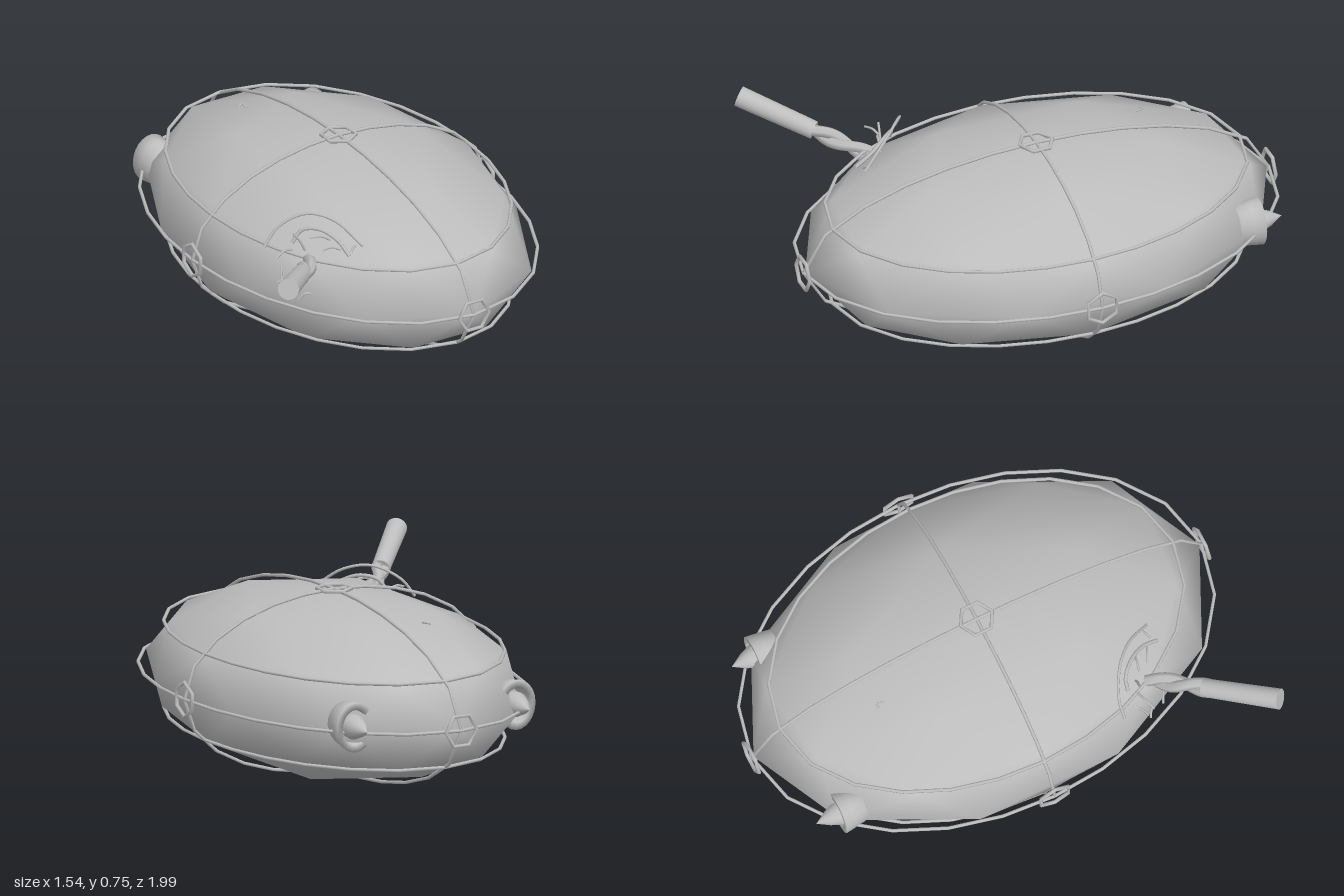
import * as THREE from 'three';

const CX = 0.085, CY = 0.374;
const V = (x, y, z) => new THREE.Vector3(x, y, z);

export function createModel() {
  const root = new THREE.Group();
  root.name = 'wreckedPod';
  const grey = new THREE.MeshStandardMaterial({ color: 0xbdbdbd, side: THREE.DoubleSide });
  grey.name = 'paleGrey';

  const add = (parent, name, geometry) => {
    const mesh = new THREE.Mesh(geometry, grey);
    mesh.name = name;
    parent.add(mesh);
    return mesh;
  };
  const tube = (parent, name, pts, radius, closed = false, segments = pts.length) =>
    add(parent, name, new THREE.TubeGeometry(
      new THREE.CatmullRomCurve3(pts, closed), segments, radius, 6, closed));

  const pod = new THREE.Group();
  pod.name = 'pod';
  pod.position.set(CX, CY, 0);
  root.add(pod);

  // Coarse, smoothly shaded ellipsoid hull with a vertex at each pole
  const hull = new THREE.IcosahedronGeometry(1, 1);
  hull.rotateZ(-Math.atan(2 / (1 + Math.sqrt(5))));
  hull.scale(0.667, 0.36, 0.98);
  add(pod, 'hull', hull);

  // Cage of elliptical hoops
  const A = 0.68, B = 0.364, C = 0.988;
  const hoop = (name, place) => {
    const pts = [];
    for (let i = 0; i < 24; i++) {
      const t = i / 24 * Math.PI * 2;
      pts.push(place(Math.cos(t), Math.sin(t)));
    }
    tube(pod, name, pts, 0.007, true);
  };
  hoop('crossHoop', (c, s) => V(A * c, B * s, 0));
  hoop('lengthHoop', (c, s) => V(0, B * s, C * c));
  hoop('equatorHoop', (c, s) => V(A * c, 0, C * s));
  for (const side of [1, -1]) {
    hoop(side > 0 ? 'upperHoop' : 'lowerHoop',
      (c, s) => V(A * 0.866 * c, side * 0.174, C * 0.875 * s));
  }

  // Hexagonal joints where the hoops cross
  const hexJoint = (name, x, y, z, turn) => {
    const g = new THREE.TorusGeometry(0.069, 0.008, 6, 6);
    g.rotateZ(turn);
    const mesh = add(pod, name, g);
    mesh.position.set(x, y, z);
    if (x) mesh.rotation.y = Math.PI / 2;
    if (y) mesh.rotation.x = Math.PI / 2;
  };
  for (const s of [1, -1]) {
    hexJoint('sideJoint', s * A, 0, 0, Math.PI / 6);
    hexJoint('poleJoint', 0, s * 0.366, 0, Math.PI / 6);
    hexJoint('endJoint', 0, 0, s * 0.99, 0);
  }

  // Rear thrusters: cone inside a cowl that is open on the inner side
  for (const s of [1, -1]) {
    const thruster = new THREE.Group();
    thruster.name = s > 0 ? 'leftThruster' : 'rightThruster';
    thruster.position.set(s * 0.367, 0.018, -0.75);
    pod.add(thruster);

    const profile = [[0.05, -0.06], [0.069, -0.055], [0.077, 0], [0.083, 0.045],
      [0.058, 0.045], [0.05, -0.06]].map(p => new THREE.Vector2(p[0], p[1]));
    const arc = Math.PI * 1.55;
    const cowl = new THREE.LatheGeometry(profile, 18, s * Math.PI / 2 - arc / 2, arc);
    cowl.rotateX(-Math.PI / 2);
    cowl.scale(1, 1.22, 1);
    add(thruster, 'cowl', cowl);

    const cone = new THREE.LatheGeometry([[0, -0.05], [0.045, -0.05], [0.05, 0.04],
      [0.03, 0.09], [0, 0.14]].map(p => new THREE.Vector2(p[0], p[1])), 16);
    cone.rotateX(-Math.PI / 2);
    add(thruster, 'nozzleCone', cone);
  }

  // Rod driven into the hull, ending in a twisted section
  const start = V(-0.735, 0.687, 0.92), end = V(-0.375, 0.53, 0.52);
  const axis = end.clone().sub(start);
  const length = axis.length();
  const rod = new THREE.Group();
  rod.name = 'rod';
  rod.position.copy(start);
  rod.quaternion.setFromUnitVectors(V(0, 1, 0), axis.normalize());
  root.add(rod);
  const shaft = new THREE.CylinderGeometry(0.037, 0.042, length * 0.58, 20);
  shaft.translate(0, length * 0.29, 0);
  add(rod, 'shaft', shaft);
  for (const phase of [0, Math.PI]) {
    const pts = [];
    for (let i = 0; i <= 24; i++) {
      const t = i / 24, a = phase + t * Math.PI * 2;
      pts.push(V(0.016 * Math.cos(a), length * (0.48 + 0.52 * t), 0.016 * Math.sin(a)));
    }
    tube(rod, 'twistedStrand', pts, 0.023, false, 32);
  }

  // Torn arcs and splinters around the puncture
  const damage = new THREE.Group();
  damage.name = 'punctureDamage';
  root.add(damage);
  tube(damage, 'outerArc', [V(-0.49, 0.56, 0.36), V(-0.43, 0.635, 0.365), V(-0.33, 0.69, 0.42),
    V(-0.25, 0.67, 0.5), V(-0.19, 0.59, 0.61)], 0.006, false, 20);
  tube(damage, 'innerArc', [V(-0.4, 0.58, 0.42), V(-0.36, 0.63, 0.43), V(-0.31, 0.64, 0.48),
    V(-0.27, 0.61, 0.55), V(-0.26, 0.57, 0.62)], 0.008, false, 16);
  const splinters = [
    [-0.42, 0.64, 0.46, -0.37, 0.56, 0.47], [-0.51, 0.57, 0.48, -0.42, 0.57, 0.45],
    [-0.36, 0.62, 0.49, -0.28, 0.6, 0.51], [-0.33, 0.58, 0.54, -0.27, 0.58, 0.57],
    [-0.5, 0.455, 0.47, -0.45, 0.455, 0.5], [-0.46, 0.5, 0.44, -0.48, 0.44, 0.47],
    [-0.45, 0.4, 0.55, -0.41, 0.425, 0.57], [-0.24, 0.57, 0.6, -0.2, 0.58, 0.58],
  ];
  for (const [a, b, c, d, e, f] of splinters) {
    tube(damage, 'splinter', [V(a, b, c), V((a + d) / 2, (b + e) / 2 + 0.012, (c + f) / 2),
      V(d, e, f)], 0.005, false, 6);
  }

  // Small hook on the rear top of the hull
  tube(root, 'hullHook', [V(-0.06, 0.685, -0.5), V(-0.042, 0.69, -0.502),
    V(-0.042, 0.685, -0.47)], 0.004, false, 6);

  return root;
}
